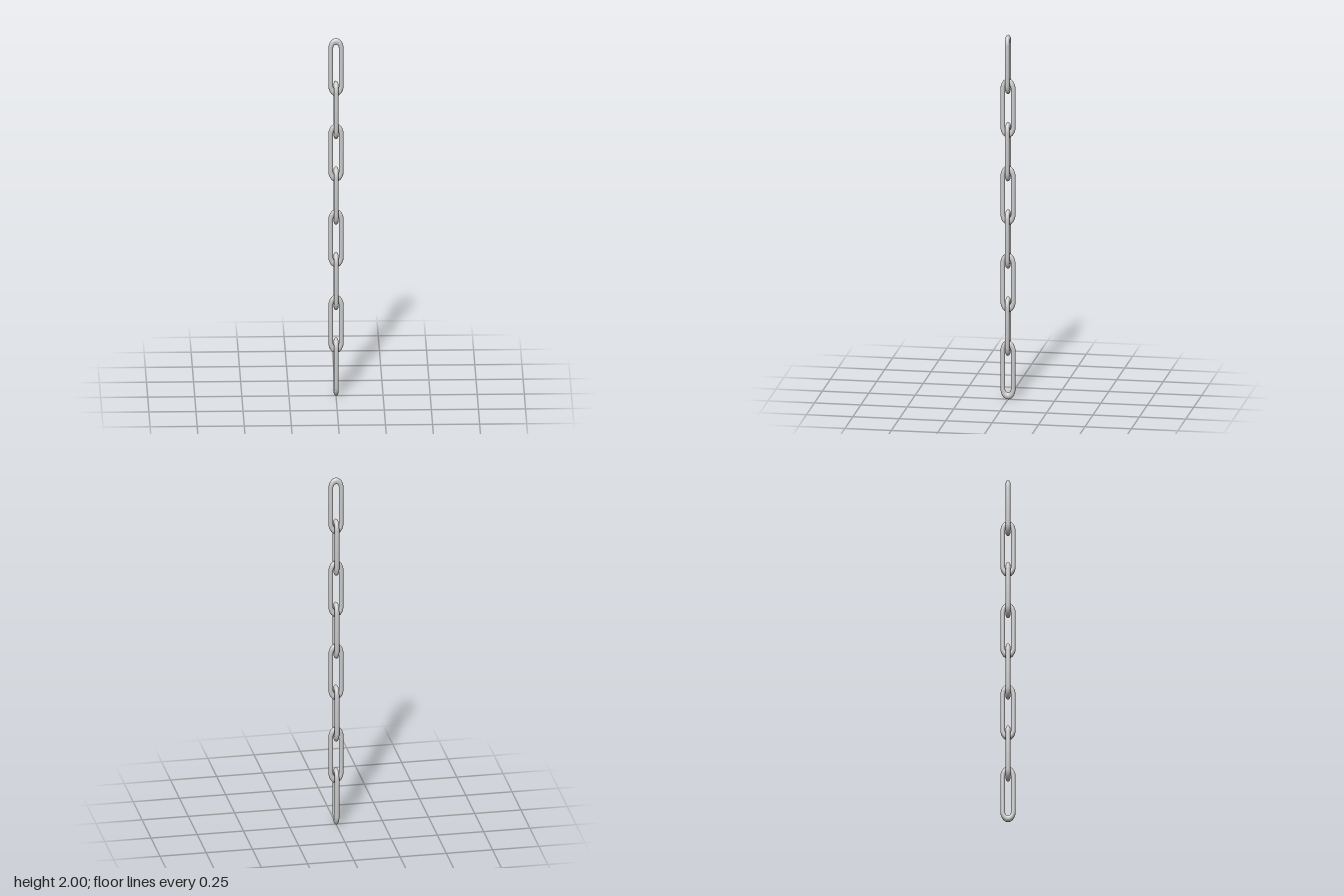
import * as THREE from 'three';

const LINKS = 8;
const HEIGHT = 0.324;                        // outer height of one link
const PITCH = (2 - HEIGHT) / (LINKS - 1);    // spacing between links
const RING = 0.028, WIRE = 0.0125;           // bend radius and wire radius
const STRETCH = 1.45;                        // links are drawn out vertically
const SEGMENTS = 32;

// A torus split at mid-height, its halves pulled apart into a long oval link
function linkGeometry() {
  const geo = new THREE.TorusGeometry(RING, WIRE, 16, SEGMENTS);
  geo.rotateZ(Math.PI / SEGMENTS);           // no ring lies on the split
  const half = HEIGHT / 2 / STRETCH - RING - WIRE;
  const pos = geo.attributes.position;
  for (let i = 0; i < pos.count; i++) {
    pos.setY(i, pos.getY(i) + Math.sign(pos.getY(i)) * half);
  }
  geo.scale(1, STRETCH, 1);
  return geo;
}

export function createModel() {
  const chain = new THREE.Group();
  chain.name = 'chain';
  const geo = linkGeometry();
  const material = new THREE.MeshStandardMaterial({ color: 0xcccccc });

  // Links from top to bottom, every second one turned a quarter
  for (let i = 0; i < LINKS; i++) {
    const link = new THREE.Mesh(geo, material);
    link.name = `chainLink${i + 1}`;
    link.position.y = 2 - HEIGHT / 2 - i * PITCH;
    link.rotation.y = (i % 2) * Math.PI / 2;
    chain.add(link);
  }
  return chain;
}
